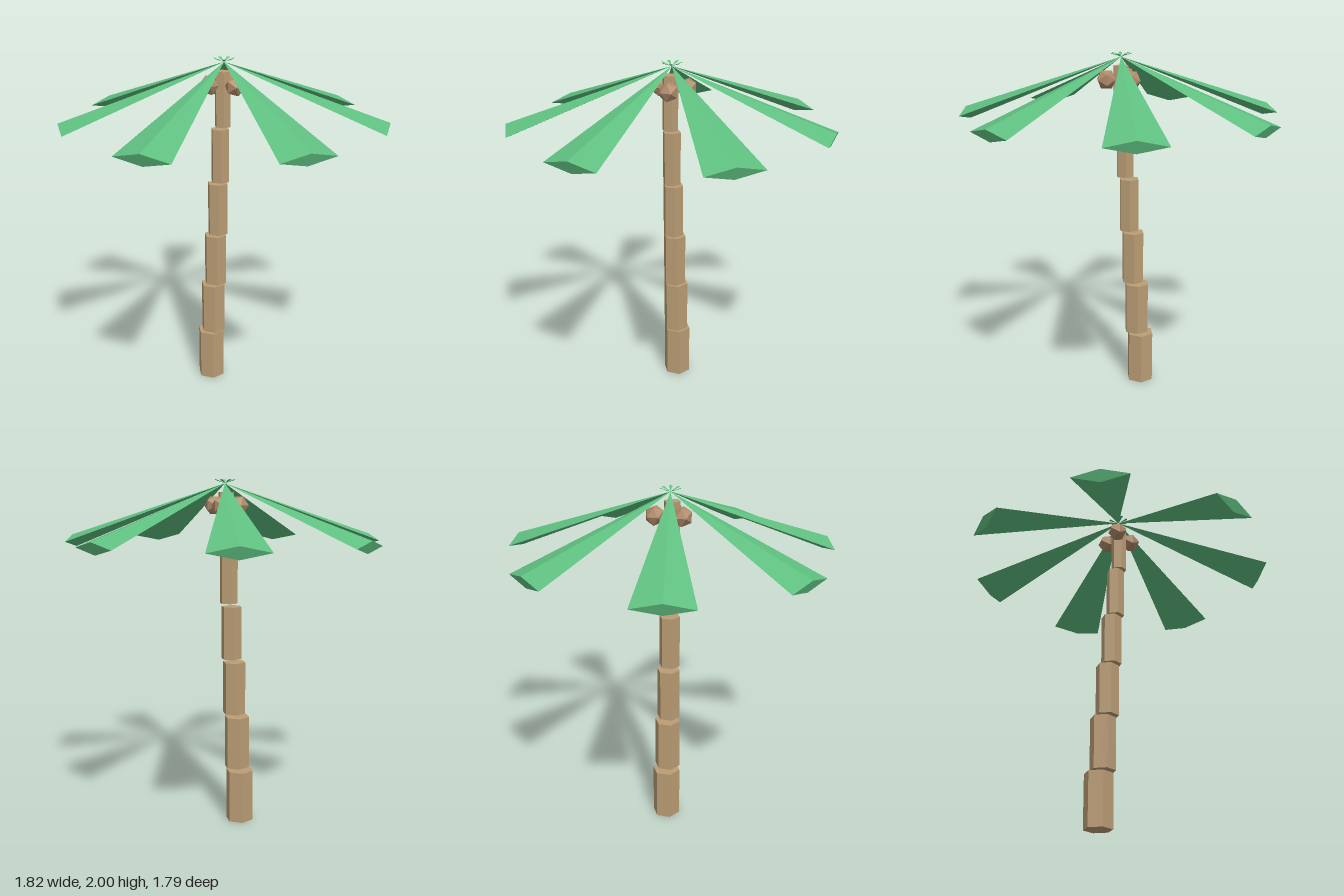
import * as THREE from 'three';

export function createModel() {
  const model = new THREE.Group();
  model.name = 'palmTree';

  const material = (name, color) => {
    const m = new THREE.MeshStandardMaterial({ color, flatShading: true });
    m.name = name;
    return m;
  };
  const bark = material('bark', 0xba9d75);
  const leaf = material('leafGreen', 0x5fbf80);
  const shell = material('coconutBrown', 0xb08a69);

  const add = (parent, name, geometry, mat) => {
    const mesh = new THREE.Mesh(geometry, mat);
    mesh.name = name;
    parent.add(mesh);
    return mesh;
  };

  // Trunk: six stacked hexagonal blocks, narrowing and leaning toward the crown
  const trunk = new THREE.Group();
  trunk.name = 'trunk';
  model.add(trunk);
  for (let i = 0; i < 6; i++) {
    const radius = 0.082 - i * 0.0072;
    const block = add(trunk, 'trunkSegment', new THREE.CylinderGeometry(radius, radius, 0.308, 6), bark);
    block.position.set(-0.119 + i * 0.0237, 0.154 + i * 0.3245, 0.019);
  }

  // Crown: seven drooping fronds, each a flattened four-sided cone with a small stub past the centre
  const crown = new THREE.Group();
  crown.name = 'crown';
  crown.position.set(0, 1.979, 0.01);
  model.add(crown);
  const spike = (length, halfWidth, halfThick, tilt) =>
    new THREE.ConeGeometry(1, length, 4)
      .scale(halfWidth, 1, halfThick)
      .translate(0, -length / 2, 0)
      .rotateX(THREE.MathUtils.degToRad(tilt));
  const frondShape = spike(0.956, 0.16, 0.036, -70);
  const stubShape = spike(0.06, 0.0102, 0.0023, 110);
  for (let i = 0; i < 7; i++) {
    const frond = new THREE.Group();
    frond.name = 'frond';
    frond.rotation.y = Math.PI + (i * Math.PI * 2) / 7;
    add(frond, 'frondBlade', frondShape, leaf);
    add(frond, 'frondStub', stubShape, leaf);
    crown.add(frond);
  }

  // Coconuts: three faceted balls around the top of the trunk
  const nutShape = new THREE.IcosahedronGeometry(0.058, 0);
  for (const [x, z] of [[0.083, 0], [-0.035, 0.088], [-0.05, -0.063]]) {
    add(model, 'coconut', nutShape, shell).position.set(x, 1.856, z);
  }

  return model;
}
